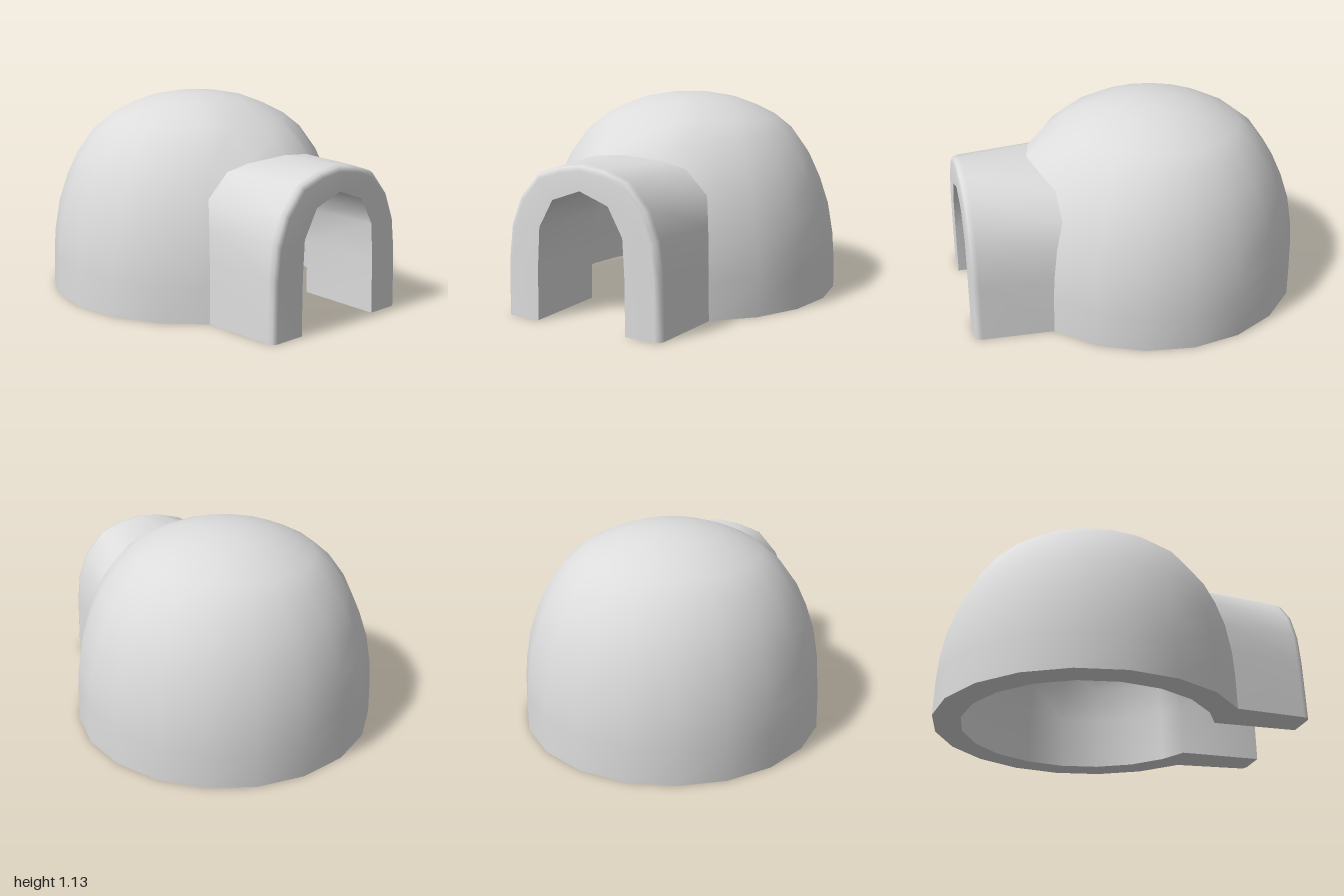
import * as THREE from 'three';
import { mergeVertices } from 'three/addons/utils/BufferGeometryUtils.js';

const CZ = -0.135; // dome centre along z
const FRONT = 1.0; // front of the entrance at the ground
const LEAN = 0.015; // how much the entrance leans back per unit of height
const FILLET_TOP = 0.98; // height where the entrance fillet fades out

// Dome profiles as [radius, height]
const OUTER = [[0.865, 0], [0.86, 0.2], [0.85, 0.33], [0.82, 0.5], [0.77, 0.65], [0.71, 0.78],
  [0.61, 0.92], [0.51, 1.0], [0.39, 1.06], [0.27, 1.105], [0.13, 1.13], [0, 1.135]];
const INNER = [[0.71, 0], [0.705, 0.3], [0.675, 0.5], [0.62, 0.65], [0.52, 0.79], [0.42, 0.87],
  [0.25, 0.95], [0.12, 0.98], [0, 0.985]];

function radiusAt(profile, y) {
  const i = Math.max(1, profile.findIndex((p) => p[1] >= y));
  const [r0, y0] = profile[i - 1], [r1, y1] = profile[i];
  return r0 + (r1 - r0) * (y - y0) / (y1 - y0);
}

// Point on a dome; push moves it outward near the entrance roof
function domePoint(profile, phi, y, push = 0) {
  const fade = Math.max(0, (FILLET_TOP - y) / (FILLET_TOP - 0.845));
  const r = radiusAt(profile, y) + push * fade;
  return new THREE.Vector3(r * Math.sin(phi), y, CZ + r * Math.cos(phi));
}

// One smooth surface from patches, each made of columns of points
function smoothSurface(patches, flip = false) {
  const pos = [];
  const tri = (a, b, c) => {
    const area = b.clone().sub(a).cross(c.clone().sub(a)).length();
    if (area < 1e-7) return;
    for (const p of flip ? [a, c, b] : [a, b, c]) pos.push(p.x, p.y, p.z);
  };
  for (const columns of patches) {
    for (let i = 0; i + 1 < columns.length; i++) {
      const A = columns[i], B = columns[i + 1];
      if (A.phi !== undefined && A.phi === B.phi) continue;
      for (let j = 0; j + 1 < A.length; j++) {
        tri(A[j], B[j], B[j + 1]);
        tri(A[j], B[j + 1], A[j + 1]);
      }
    }
  }
  const soup = new THREE.BufferGeometry();
  soup.setAttribute('position', new THREE.Float32BufferAttribute(pos, 3));
  const geometry = mergeVertices(soup, 1e-4);
  geometry.computeVertexNormals();
  return geometry;
}

// Dome with an arched opening; arch lists [phi, height, push] from the middle outwards
function domeColumns(profile, arch) {
  const edge = arch[arch.length - 1][0];
  const step = Math.PI / 10;
  const list = [...arch, [edge, 0, 0]];
  for (let k = Math.floor(edge / step + 1.01); k * step < 2 * Math.PI - edge - 0.01; k++) list.push([k * step, 0, 0]);
  list.push([2 * Math.PI - edge, 0, 0]);
  for (const [phi, h, push] of [...arch].reverse()) list.push([2 * Math.PI - phi, h, push]);
  return list.map(([phi, h, push]) => {
    const column = profile.map(([, y]) => domePoint(profile, phi, Math.max(y, h), push));
    column.phi = phi;
    return column;
  });
}

// Half of an arch on a dome, from the foot to the crown
const archPoints = (profile, arch, footHeights) => [
  ...footHeights.map((y) => domePoint(profile, arch[arch.length - 1][0], y)),
  ...[...arch].reverse().map(([phi, y, push]) => domePoint(profile, phi, y, push)),
];

const mirrorX = (half) => [...half, ...half.slice(0, -1).reverse().map((p) => p.clone().setX(-p.x))];

export function createModel() {
  const group = new THREE.Group();
  const snow = new THREE.MeshStandardMaterial({ color: 0xdcdcdc });
  snow.name = 'snow';
  const add = (name, geometry) => {
    const mesh = new THREE.Mesh(geometry, snow);
    mesh.name = name;
    group.add(mesh);
  };

  // Arches where the entrance meets the outer and inner dome
  const outerArch = [[0, 0.845, 0.06], [Math.PI / 10, 0.82, 0.025], [Math.PI * 0.153, 0.78, 0], [Math.PI / 5, 0.65, 0]];
  const door = [[0.272, 0], [0.268, 0.3], [0.256, 0.5], [0.21, 0.58], [0.17, 0.65], [0.085, 0.68], [0, 0.71]];
  const doorPush = [0, 0.003, 0.006, 0.015, 0.022];
  const innerArch = door.slice(2)
    .map(([x, y], i) => [Math.asin(x / radiusAt(INNER, y)), y, doorPush[i]]).reverse();

  // Entrance rings: outer junction, roof edge, rounded lip, doorway, inner junction
  const lip = [[0.478, 0], [0.47, 0.33], [0.45, 0.5], [0.39, 0.65], [0.275, 0.78], [0.14, 0.825], [0, 0.845]];
  const ring = (points, z, inset = 0) => mirrorX(points.map(([x, y]) =>
    new THREE.Vector3(x * (1 - inset / 0.478), y * (1 - inset / 0.845), z - LEAN * y)));
  const rings = [
    mirrorX(archPoints(OUTER, outerArch, [0, 0.33, 0.5])),
    ring(lip, FRONT - 0.04),
    ring(lip, FRONT - 0.012, 0.009),
    ring(lip, FRONT, 0.033),
    ring(door, FRONT),
    mirrorX(archPoints(INNER, innerArch, [0, 0.3])),
  ];
  const strip = (from, to) => rings[0].map((_, i) => rings.slice(from, to + 1).map((r) => r[i]));

  // Dome and entrance outside, then dome and doorway inside
  const outerDome = domeColumns(OUTER, outerArch);
  const innerDome = domeColumns(INNER, innerArch);
  const doorway = strip(4, 5).reverse(); // reversed to match the inward-facing dome
  add('outerDome', smoothSurface([outerDome]));
  add('entranceTunnel', smoothSurface([strip(0, 4)]));
  add('innerShell', smoothSurface([innerDome, doorway], true));

  // Flat underside of the walls
  const foot = (columns) => columns.filter((c) => c[0].y === 0).map((c) => [c[0].x, c[0].z]);
  const frontFoot = rings.slice(1, 5).map((r) => [r[0].x, r[0].z]);
  const outline = [
    ...foot(outerDome),
    ...frontFoot.map(([x, z]) => [-x, z]),
    ...foot(innerDome).reverse(),
    ...[...frontFoot].reverse(),
  ];
  const base = new THREE.ShapeGeometry(new THREE.Shape(outline.map(([x, z]) => new THREE.Vector2(x, z))));
  base.rotateX(Math.PI / 2);
  add('wallUnderside', base);

  return group;
}
